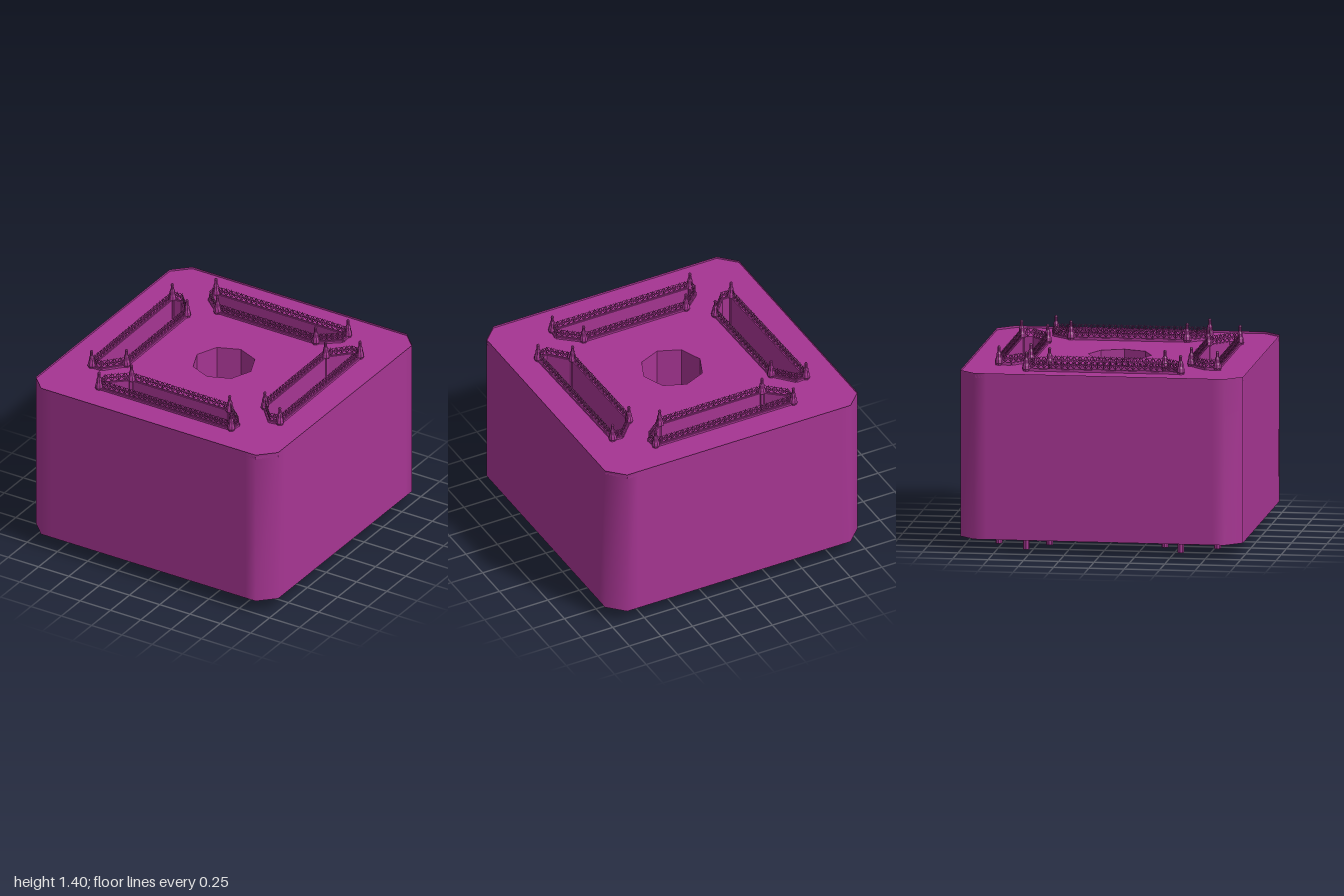
import * as THREE from 'three';
import { mergeGeometries } from 'three/addons/utils/BufferGeometryUtils.js';

const BASE = 0.1, TOP = 1.28, DECK = 1.265;
const smooth = new THREE.MeshStandardMaterial({ color: 0xa63592, side: THREE.DoubleSide });
const flat = new THREE.MeshStandardMaterial({ color: 0xa63592, side: THREE.DoubleSide, flatShading: true });

// Shaft outlines as [x, z]: inner post, kink, outer post, outer post, kink, inner post
const shafts = {
  front: [[-0.41, 0.565], [-0.55, 0.69], [-0.55, 0.77], [0.54, 0.77], [0.55, 0.69], [0.4, 0.565]],
  back: [[-0.41, -0.57], [-0.55, -0.69], [-0.55, -0.775], [0.54, -0.775], [0.55, -0.69], [0.4, -0.57]],
  left: [[0.57, -0.43], [0.7, -0.57], [0.77, -0.565], [0.785, 0.52], [0.71, 0.535], [0.58, 0.39]],
  right: [[-0.565, -0.415], [-0.69, -0.555], [-0.77, -0.55], [-0.755, 0.54], [-0.675, 0.54], [-0.555, 0.4]],
};

// Chamfered square, with extra points that keep the flats flat
const quarter = [[1, -0.8], [1, 0], [1, 0.8], [1, 0.885], [0.885, 1], [0.8, 1], [0, 1]];
function bodyOutline() {
  const pts = [];
  for (const s of [1, -1]) {
    for (const [x, z] of quarter.slice(1)) pts.push([s * x, s * z]);
    for (const [x, z] of quarter.slice(1, 6)) pts.push([-s * z, s * x]);
    pts.push([-s, 0]);
  }
  // Sort by angle and drop repeated points
  const unique = new Map(pts.map((p) => [p.map((v) => v.toFixed(3).replace('-0.000', '0.000')).join(), p]));
  return [...unique.values()].sort((a, b) => Math.atan2(a[1], a[0]) - Math.atan2(b[1], b[0]));
}

const toVectors = (pts) => pts.map(([x, z]) => new THREE.Vector2(x, -z));

function mesh(name, geometry, material = flat) {
  const m = new THREE.Mesh(geometry, material);
  m.name = name;
  return m;
}

// Open, smooth-shaded outer wall
function wallGeometry(outline) {
  const pos = [], index = [], n = outline.length;
  outline.forEach(([x, z], i) => {
    pos.push(x, BASE, z, x, TOP, z);
    const a = 2 * i, b = 2 * ((i + 1) % n);
    index.push(a, a + 1, b, b, a + 1, b + 1);
  });
  const g = new THREE.BufferGeometry();
  g.setAttribute('position', new THREE.Float32BufferAttribute(pos, 3));
  g.setIndex(index);
  g.computeVertexNormals();
  return g;
}

// Box running between two points of a run
function panel(length, y0, y1, thickness) {
  return new THREE.BoxGeometry(length, y1 - y0, thickness).translate(length / 2, (y0 + y1) / 2, 0);
}

// One fence run along +x: rails, crossed bars, rings and pointed pickets
function fenceParts(length) {
  const parts = [panel(length, 1.28, 1.285, 0.007), panel(length, 1.31, 1.314, 0.005)];
  const cells = Math.max(1, Math.round(length / 0.042));
  const step = length / cells;
  for (let i = 0; i < cells; i++) {
    const x = (i + 0.5) * step;
    for (const s of [1, -1]) {
      parts.push(new THREE.BoxGeometry(Math.hypot(step, 0.055), 0.004, 0.004)
        .rotateZ(s * Math.atan2(0.055, step)).translate(x, 1.312, 0));
    }
    parts.push(new THREE.TorusGeometry(0.013, 0.0025, 3, 8).translate(x, 1.327, 0));
    parts.push(new THREE.CylinderGeometry(0.001, 0.004, 0.066, 4).translate(i * step, 1.313, 0));
  }
  return parts;
}

export function createModel() {
  const model = new THREE.Group();
  const outline = bodyOutline();
  model.add(mesh('outerWall', wallGeometry(outline), smooth));

  // Deck with the four shaft openings and the middle hole
  const deck = new THREE.Shape(toVectors(outline));
  for (const pts of Object.values(shafts)) deck.holes.push(new THREE.Path(toVectors(pts)));
  const octagon = Array.from({ length: 8 }, (_, i) =>
    [0.222 * Math.cos(i * Math.PI / 4), 0.222 * Math.sin(i * Math.PI / 4)]);
  deck.holes.push(new THREE.Path(toVectors(octagon)));
  model.add(mesh('deck', new THREE.ExtrudeGeometry(deck, { depth: 0.02, bevelEnabled: false })
    .rotateX(-Math.PI / 2).translate(0, DECK - 0.02, 0)));

  // Middle shaft
  model.add(mesh('centreShaft', new THREE.CylinderGeometry(0.222, 0.222, DECK - 0.32, 8, 1, true)
    .translate(0, (DECK + 0.32) / 2, 0)));

  // Post with a stepped pinnacle
  const postGeometry = new THREE.LatheGeometry([
    [0, 0], [0.024, 0], [0.024, 1.27], [0.03, 1.28], [0.026, 1.305], [0.02, 1.32],
    [0.018, 1.345], [0.011, 1.36], [0.01, 1.385], [0.012, 1.39], [0.007, 1.4], [0, 1.4],
  ].map(([r, y]) => new THREE.Vector2(r, y)), 8);

  for (const [side, pts] of Object.entries(shafts)) {
    const group = new THREE.Group();
    group.name = side + 'Shaft';
    const walls = [], fences = [];
    pts.forEach(([x, z], i) => {
      const [x2, z2] = pts[(i + 1) % pts.length];
      const length = Math.hypot(x2 - x, z2 - z);
      const place = (g) => g.rotateY(-Math.atan2(z2 - z, x2 - x)).translate(x, 0, z);
      walls.push(place(panel(length, BASE, TOP, 0.022)));
      fences.push(...fenceParts(length).map(place));
      // Posts stand at every corner except the kinks
      if (i !== 1 && i !== 4) {
        const post = mesh('post', postGeometry);
        post.position.set(x, 0, z);
        group.add(post);
      }
    });
    group.add(mesh('shaftWalls', mergeGeometries(walls)), mesh('fence', mergeGeometries(fences)));
    model.add(group);
  }
  return model;
}
